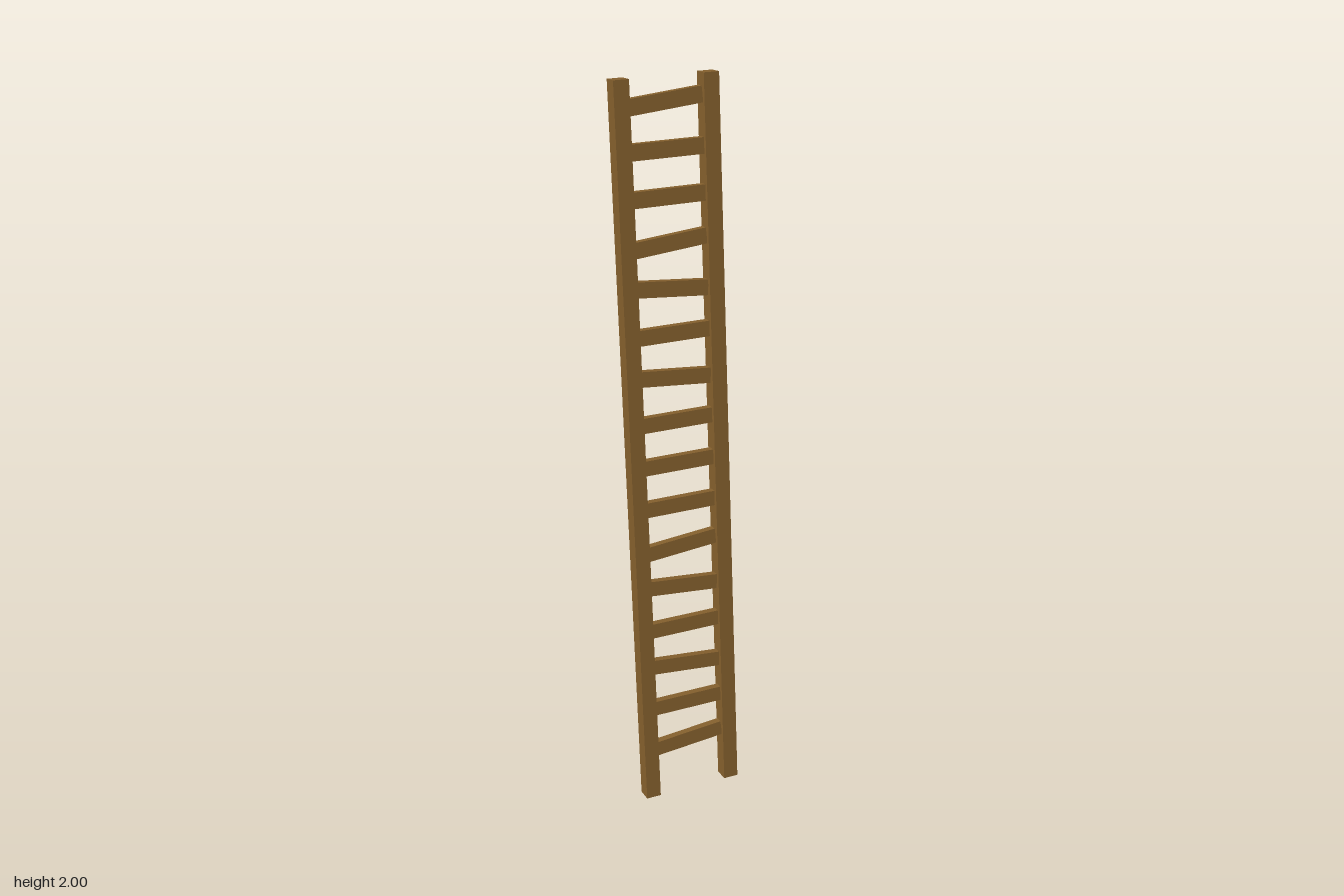
import * as THREE from 'three';

export function createModel() {
  const model = new THREE.Group();
  model.name = 'ladder';
  const wood = new THREE.MeshStandardMaterial({ color: 0x85602d, flatShading: true });

  const lean = THREE.MathUtils.degToRad(5);
  const thick = 0.042; // square rail section
  const length = (2 - thick * Math.sin(lean)) / Math.cos(lean);

  // everything is built upright, then leaned back as one frame
  const frame = new THREE.Group();
  frame.name = 'leaningFrame';
  frame.position.y = 1;
  frame.rotation.x = -lean;
  model.add(frame);

  // side rails
  const railGeometry = new THREE.BoxGeometry(thick, length, thick);
  for (const side of [-1, 1]) {
    const rail = new THREE.Mesh(railGeometry, wood);
    rail.name = side > 0 ? 'leftRail' : 'rightRail';
    rail.position.x = side * 0.121;
    frame.add(rail);
  }

  // rungs from bottom to top, some nailed on crooked
  const crooked = [1, 0, -1, 0, -1, 1, 0, 0, 0, -1, 0, -1, 1, 0, 0, 1];
  const rungGeometry = new THREE.BoxGeometry(0.2, thick, thick / 2);
  crooked.forEach((tilt, i) => {
    const rung = new THREE.Mesh(rungGeometry, wood);
    rung.name = `rung${i + 1}`;
    rung.position.y = 0.045 + (i - 7.5) * 0.1193;
    rung.rotation.z = tilt * THREE.MathUtils.degToRad(5);
    frame.add(rung);
  });

  return model;
}
